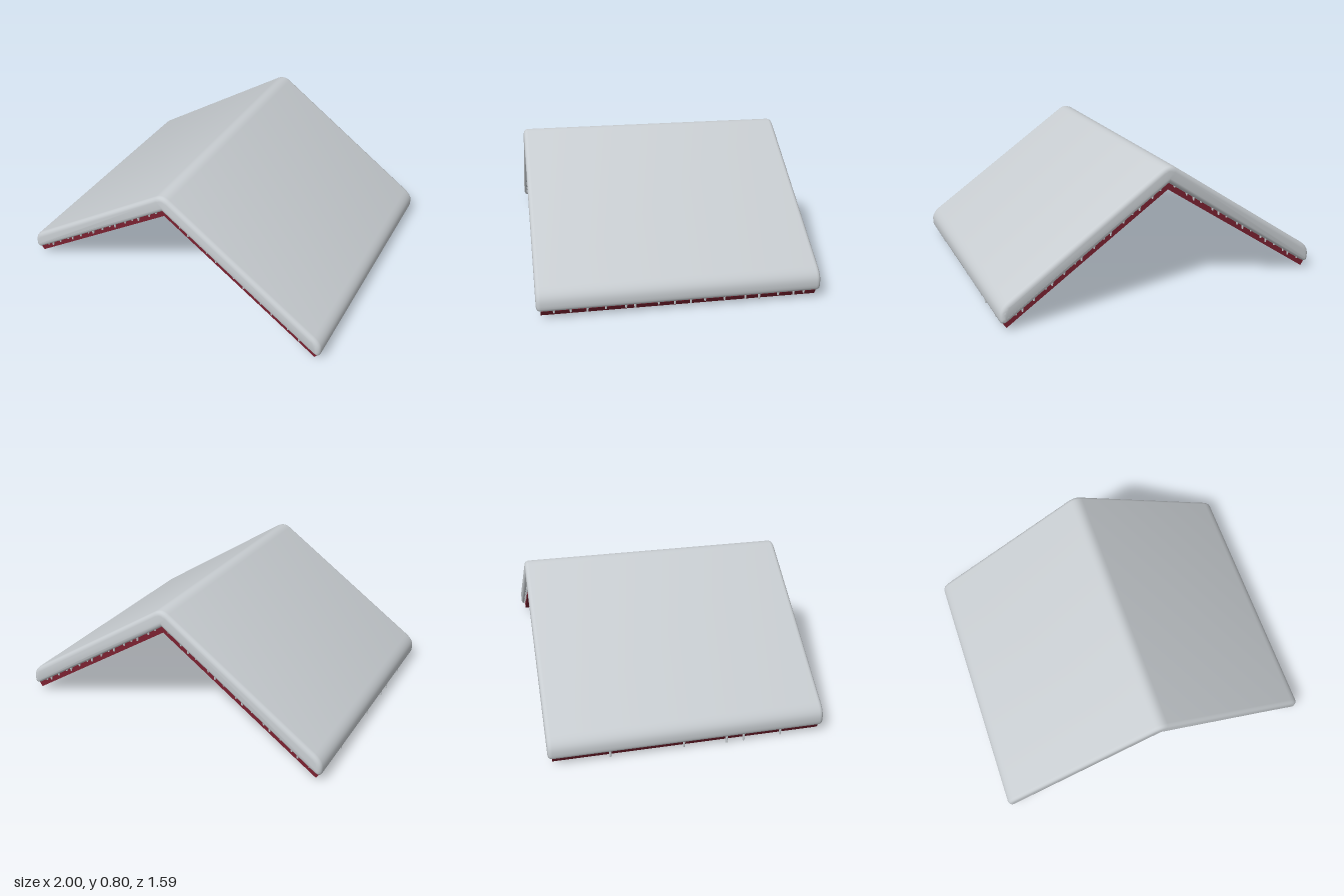
import * as THREE from 'three';
import { toCreasedNormals } from 'three/addons/utils/BufferGeometryUtils.js';

const snowMat = new THREE.MeshStandardMaterial({ color: 0xc8cdd1 });
snowMat.name = 'snow grey';
const roofMat = new THREE.MeshStandardMaterial({ color: 0x7a2130 });
roofMat.name = 'dark red';

function mesh(name, geometry, material) {
  const m = new THREE.Mesh(geometry, material);
  m.name = name;
  return m;
}

// Thick snow blanket with a soft ridge, round eaves and bevelled gable edges
function snowBlanket() {
  const s = new THREE.Shape();
  s.moveTo(0, 0.70);
  s.lineTo(-0.955, 0.057);
  s.quadraticCurveTo(-1, 0.03, -1, 0.08);
  s.lineTo(-1, 0.095);
  s.quadraticCurveTo(-1, 0.141, -0.95, 0.175);
  s.lineTo(-0.045, 0.784);
  s.quadraticCurveTo(0, 0.814, 0.045, 0.784);
  s.lineTo(0.95, 0.175);
  s.quadraticCurveTo(1, 0.141, 1, 0.095);
  s.lineTo(1, 0.08);
  s.quadraticCurveTo(1, 0.03, 0.955, 0.057);
  s.closePath();
  const bevel = 0.026, depth = 1.59 - 2 * bevel;
  const g = new THREE.ExtrudeGeometry(s, {
    depth, curveSegments: 6, bevelEnabled: true, bevelSegments: 4,
    bevelSize: bevel, bevelThickness: bevel, bevelOffset: -bevel,
  });
  g.translate(0, 0, -depth / 2);
  return mesh('snowBlanket', toCreasedNormals(g, 0.8), snowMat);
}

// Folded roof boards under the snow
function roofBoards() {
  const pts = [[0, 0.66], [0.963, 0.015], [0.982, 0.045], [0, 0.715], [-0.982, 0.045], [-0.963, 0.015]];
  const s = new THREE.Shape(pts.map(([x, y]) => new THREE.Vector2(x, y)));
  const g = new THREE.ExtrudeGeometry(s, { depth: 1.54, bevelEnabled: false });
  g.translate(0, 0, -0.77);
  return mesh('roofBoards', g, roofMat);
}

// Tapered icicle hanging from a top point
const icicleGeo = new THREE.CylinderGeometry(0.009, 0.005, 1, 8).translate(0, -0.5, 0);
function icicle(x, y, z, length) {
  const m = mesh('icicle', icicleGeo, snowMat);
  m.position.set(x, y, z);
  m.scale.y = length;
  return m;
}

export function createModel() {
  const model = new THREE.Group();
  model.name = 'snowyRoof';
  model.add(snowBlanket(), roofBoards());

  // Icicles along the two eaves
  const left = new THREE.Group();
  left.name = 'leftEaveIcicles';
  [0.7, 0.61, 0.52, 0.42, 0.31, 0.26, 0.13, 0.04, -0.05, -0.13, -0.24, -0.36, -0.44, -0.55, -0.64, -0.7]
    .forEach((z, i) => left.add(icicle(0.98, 0.06, z, z === -0.44 ? 0.045 : 0.028 + 0.008 * (i % 3) / 2)));
  const right = new THREE.Group();
  right.name = 'rightEaveIcicles';
  [0.54, 0.32, 0.22, -0.03, -0.45]
    .forEach((z, i) => right.add(icicle(-0.978, 0.06, z, i === 1 || i === 2 ? 0.06 : 0.052)));
  model.add(left, right);

  // Tiny icicles under the front and back gable edges
  const gables = new THREE.Group();
  gables.name = 'gableIcicles';
  for (const side of [-1, 1]) {
    for (const end of [-1, 1]) {
      for (let i = 0; i < 16; i++) {
        const x = 0.05 + i * 0.058 + 0.012 * Math.sin(i * 4.1 + side + end);
        gables.add(icicle(side * x, 0.725 - 0.673 * x, end * 0.775, 0.03 + 0.006 * (i % 3)));
      }
    }
  }
  model.add(gables);
  return model;
}
